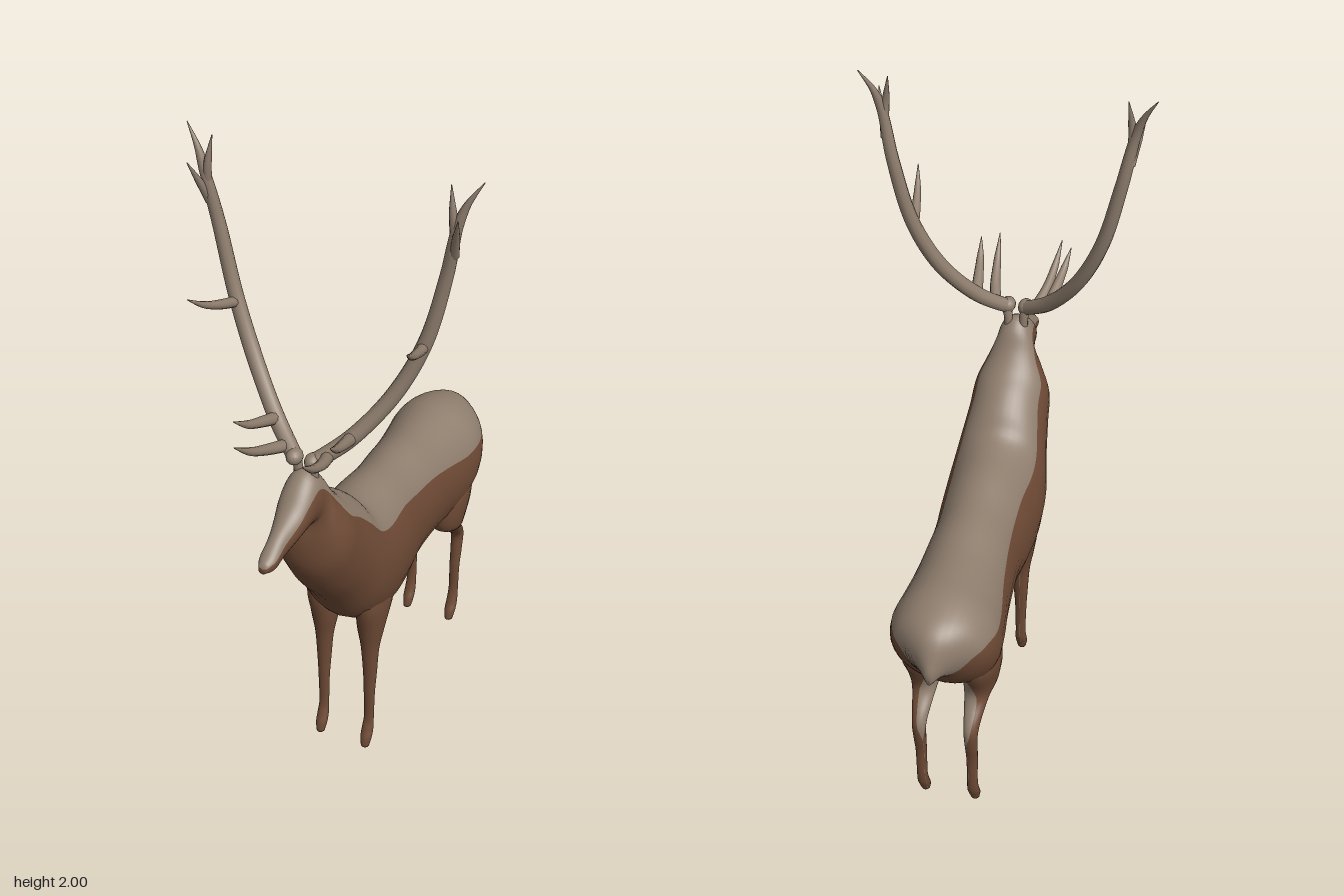
import * as THREE from 'three';

const brown = new THREE.MeshStandardMaterial({ color: 0x6e4a35 });
brown.name = 'brown coat';
const tan = new THREE.MeshStandardMaterial({ color: 0x8f7e6e });
tan.name = 'tan back and antler';

// Smooth oval loft. Each row: [zA, yA, zB, yB, halfWidth, tanAngle, centreX]
// A is the spine side; the tan arc spans +-tanAngle around A, turned by phase.
function loft(name, rows, side = 1, phase = 0, perRow = 4) {
  const curve = (f) => new THREE.CatmullRomCurve3(rows.map(f), false, 'catmullrom', 0.5);
  const curveA = curve((r) => new THREE.Vector3(0, r[1], r[0]));
  const curveB = curve((r) => new THREE.Vector3(0, r[3], r[2]));
  const curveW = curve((r) => new THREE.Vector3(r[4], r[5], r[6] || 0));
  const nTan = 14, nBrown = 18, n = nTan + nBrown;
  const steps = (rows.length - 1) * perRow;
  const pos = [], tanIdx = [], brownIdx = [];
  const centres = [];
  for (let i = 0; i <= steps; i++) {
    const t = i / steps;
    const a = curveA.getPoint(t), b = curveB.getPoint(t), w = curveW.getPoint(t);
    const c = a.clone().add(b).multiplyScalar(0.5);
    const half = a.clone().sub(c);
    const th = THREE.MathUtils.clamp(w.y, 0.02, 3.1);
    c.x = side * w.z;
    centres.push(c);
    for (let j = 0; j < n; j++) {
      const ang = phase * side + (j < nTan
        ? -th + (2 * th * j) / nTan
        : th + ((2 * Math.PI - 2 * th) * (j - nTan)) / nBrown);
      pos.push(c.x + w.x * Math.sin(ang), c.y + half.y * Math.cos(ang), c.z + half.z * Math.cos(ang));
    }
  }
  const c0 = pos.length / 3;
  [centres[0], centres[steps]].forEach((c) => pos.push(c.x, c.y, c.z));
  for (let j = 0; j < n; j++) {
    const k = (j + 1) % n, list = j < nTan ? tanIdx : brownIdx;
    for (let i = 0; i < steps; i++) {
      const p = i * n, q = p + n;
      list.push(p + j, q + j, p + k, q + j, q + k, p + k);
    }
    const e = steps * n;
    list.push(c0, j, k, c0 + 1, e + k, e + j);
  }
  const geo = new THREE.BufferGeometry();
  geo.setAttribute('position', new THREE.Float32BufferAttribute(pos, 3));
  geo.setIndex([...tanIdx, ...brownIdx]);
  geo.addGroup(0, tanIdx.length, 0);
  geo.addGroup(tanIdx.length, brownIdx.length, 1);
  geo.computeVertexNormals();
  const mesh = new THREE.Mesh(geo, [tan, brown]);
  mesh.name = name;
  return mesh;
}

// Round tube whose radius follows a list of values along its length
function taperedTube(name, points, radii, side, segs = 16) {
  const path = new THREE.CatmullRomCurve3(points.map(([x, y, z]) => new THREE.Vector3(x * side, y, z)));
  const radial = 10;
  const geo = new THREE.TubeGeometry(path, segs, 1, radial);
  const p = geo.attributes.position, v = new THREE.Vector3();
  for (let i = 0; i <= segs; i++) {
    const t = i / segs, c = path.getPointAt(t);
    const f = t * (radii.length - 1), k = Math.min(Math.floor(f), radii.length - 2);
    const r = THREE.MathUtils.lerp(radii[k], radii[k + 1], f - k);
    for (let j = 0; j <= radial; j++) {
      const id = i * (radial + 1) + j;
      v.fromBufferAttribute(p, id).sub(c).multiplyScalar(r).add(c);
      p.setXYZ(id, v.x, v.y, v.z);
    }
  }
  const mesh = new THREE.Mesh(geo, tan);
  mesh.name = name;
  return mesh;
}

// Leg rows [y, z, halfDepth, halfWidth, x, tanAngle] become loft rows, rear edge first
const legRows = (rows) => rows.map(([y, z, rz, rx, x, th = 0.02]) => [z - rz, y, z + rz, y, rx, th, x]);

function antler(side) {
  const g = new THREE.Group();
  g.name = side > 0 ? 'leftAntler' : 'rightAntler';
  const add = (...a) => g.add(taperedTube(...a));
  add('pedicle', [[0.022, 1.13, 0.4], [0.024, 1.17, 0.4], [0.03, 1.21, 0.405]], [0.014, 0.013, 0.018], side, 6);
  add('beam', [[0.02, 1.195, 0.415], [0.05, 1.215, 0.393], [0.11, 1.265, 0.352], [0.2, 1.385, 0.292],
    [0.27, 1.54, 0.255], [0.318, 1.74, 0.242], [0.345, 1.88, 0.25], [0.365, 1.94, 0.243], [0.402, 2, 0.228]],
  [0.022, 0.023, 0.022, 0.022, 0.021, 0.02, 0.019, 0.017, 0.013, 0.001], side, 48);
  add('browTine', [[0.06, 1.215, 0.39], [0.078, 1.24, 0.46], [0.088, 1.275, 0.53], [0.096, 1.33, 0.602]],
    [0.018, 0.015, 0.011, 0.001], side);
  add('secondTine', [[0.11, 1.265, 0.355], [0.118, 1.285, 0.41], [0.127, 1.31, 0.47], [0.137, 1.352, 0.53]],
    [0.018, 0.015, 0.011, 0.001], side);
  add('middleTine', [[0.268, 1.53, 0.26], [0.278, 1.55, 0.32], [0.29, 1.58, 0.385], [0.303, 1.622, 0.443]],
    [0.015, 0.013, 0.009, 0.001], side);
  add('innerTopTine', [[0.34, 1.85, 0.25], [0.334, 1.91, 0.253], [0.323, 1.985, 0.242]],
    [0.013, 0.01, 0.001], side);
  add('frontTopTine', [[0.337, 1.8, 0.245], [0.35, 1.86, 0.27], [0.366, 1.925, 0.3]],
    [0.013, 0.01, 0.001], side);
  // Burr lump where the beam starts
  const burr = new THREE.Mesh(new THREE.SphereGeometry(1, 14, 10), tan);
  burr.name = 'burr';
  burr.scale.set(0.023, 0.023, 0.027);
  burr.position.set(0.027 * side, 1.203, 0.412);
  g.add(burr);
  return g;
}

export function createModel() {
  const model = new THREE.Group();
  model.name = 'stag';

  // Rump to belly, then chest to muzzle
  const trunk = [
    [-0.655, 0.71, -0.65, 0.66, 0.01, 3.1],
    [-0.632, 0.775, -0.612, 0.65, 0.045, 3],
    [-0.6, 0.812, -0.575, 0.62, 0.09, 1.75],
    [-0.55, 0.835, -0.54, 0.57, 0.133, 1.35],
    [-0.48, 0.85, -0.48, 0.5, 0.156, 1.25],
    [-0.4, 0.85, -0.41, 0.46, 0.153, 1.2],
    [-0.3, 0.85, -0.3, 0.47, 0.141, 1.1],
    [-0.2, 0.86, -0.2, 0.475, 0.135, 1.02],
    [-0.1, 0.865, -0.1, 0.468, 0.133, 0.96],
    [0, 0.88, 0, 0.445, 0.143, 0.88],
    [0.1, 0.888, 0.12, 0.45, 0.15, 0.9],
    [0.16, 0.908, 0.22, 0.51, 0.147, 0.92],
  ];
  const neckAndHead = [
    [0.2, 0.955, 0.3, 0.63, 0.133, 0.95],
    [0.25, 1, 0.38, 0.735, 0.122, 0.93],
    [0.3, 1.035, 0.433, 0.84, 0.114, 0.98],
    [0.34, 1.085, 0.437, 0.93, 0.085, 0.95],
    [0.37, 1.14, 0.42, 0.99, 0.061, 1.15],
    [0.41, 1.167, 0.44, 1, 0.055, 1.1],
    [0.46, 1.14, 0.475, 1.005, 0.051, 1.1],
    [0.51, 1.095, 0.52, 1, 0.041, 1.15],
    [0.57, 1.065, 0.575, 0.99, 0.029, 1.2],
    [0.62, 1.037, 0.625, 0.985, 0.026, 1.2],
    [0.648, 1.02, 0.655, 0.995, 0.013, 1.2],
  ];
  model.add(loft('body', [...trunk, ...neckAndHead]));

  const front = legRows([
    [0, 0.208, 0.014, 0.013, 0.077], [0.03, 0.2, 0.017, 0.018, 0.077], [0.06, 0.188, 0.016, 0.018, 0.077],
    [0.1, 0.18, 0.012, 0.016, 0.077], [0.2, 0.177, 0.014, 0.018, 0.077], [0.28, 0.172, 0.019, 0.022, 0.077],
    [0.38, 0.169, 0.026, 0.029, 0.076], [0.46, 0.162, 0.045, 0.042, 0.076], [0.56, 0.145, 0.08, 0.05, 0.08],
    [0.66, 0.14, 0.06, 0.04, 0.08],
  ]);
  const hind = legRows([
    [0, -0.45, 0.014, 0.013, 0.077], [0.03, -0.46, 0.017, 0.018, 0.077], [0.06, -0.474, 0.016, 0.018, 0.077],
    [0.11, -0.484, 0.012, 0.016, 0.077], [0.2, -0.486, 0.012, 0.017, 0.077], [0.27, -0.496, 0.017, 0.019, 0.077],
    [0.33, -0.5, 0.02, 0.021, 0.077, 0.7], [0.37, -0.474, 0.029, 0.026, 0.077, 0.9],
    [0.42, -0.425, 0.037, 0.037, 0.078, 0.9], [0.47, -0.395, 0.07, 0.052, 0.082, 0.5],
    [0.57, -0.41, 0.1, 0.06, 0.085], [0.66, -0.42, 0.07, 0.04, 0.085],
  ]);
  for (const side of [1, -1]) {
    const tag = side > 0 ? 'left' : 'right';
    model.add(loft(tag + 'FrontLeg', front, side));
    model.add(loft(tag + 'HindLeg', hind, side, -0.7));
    model.add(antler(side));
  }
  return model;
}
